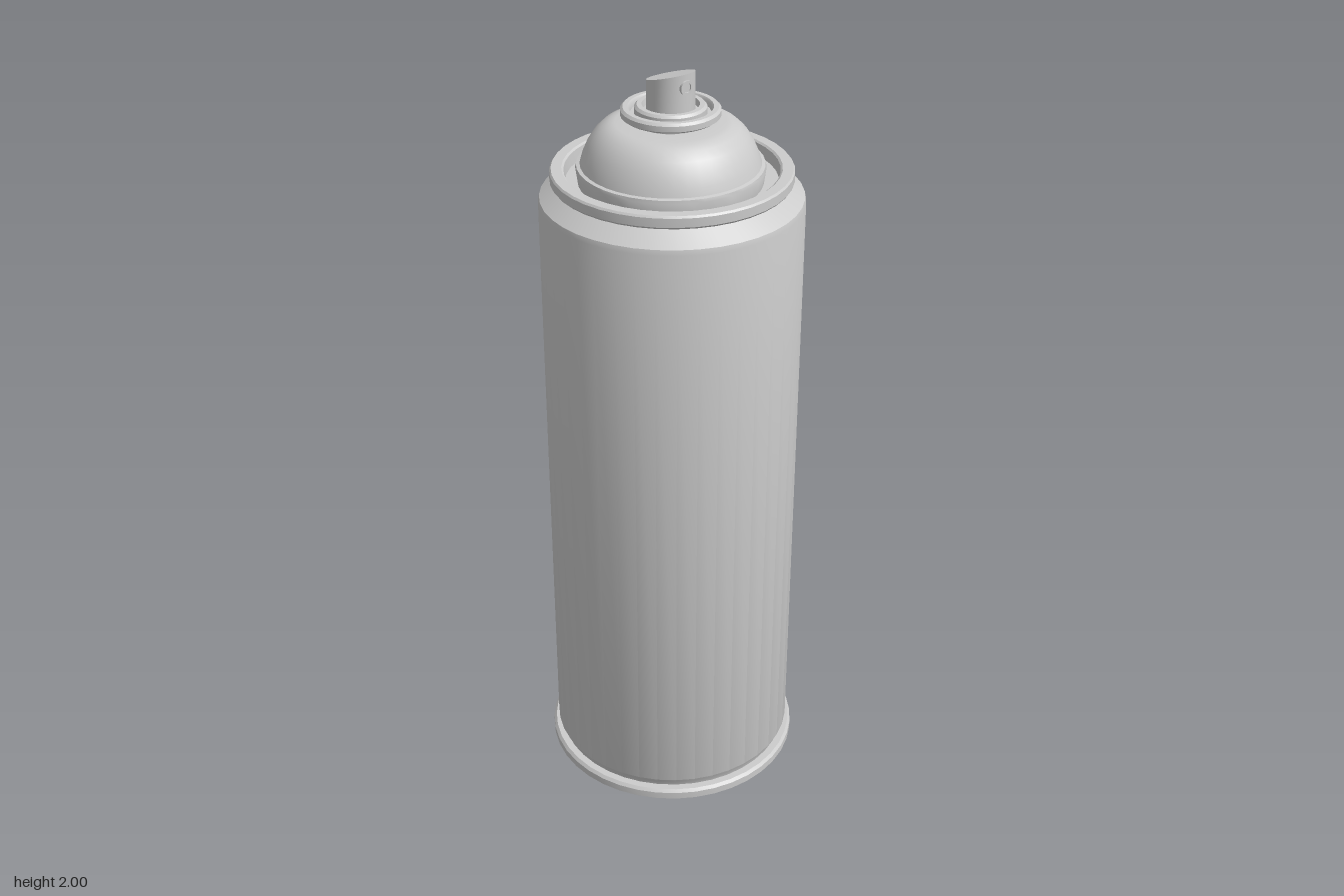
import * as THREE from 'three';
import { toCreasedNormals } from 'three/addons/utils/BufferGeometryUtils.js';

const material = new THREE.MeshStandardMaterial({ color: 0xcccccc, side: THREE.DoubleSide });

function addMesh(parent, name, geometry) {
  const mesh = new THREE.Mesh(toCreasedNormals(geometry, 0.55), material);
  mesh.name = name;
  parent.add(mesh);
  return mesh;
}

// Revolve [radius, height] pairs, listed from the bottom up
function turned(parent, name, profile, segments = 40) {
  const points = profile.map(([r, y]) => new THREE.Vector2(r, y));
  return addMesh(parent, name, new THREE.LatheGeometry(points, segments));
}

export function createModel() {
  const can = new THREE.Group();
  can.name = 'sprayCan';

  // Rolled seam and recessed underside
  turned(can, 'baseSeam', [
    [0, 0.03], [0.2, 0.027], [0.305, 0.018], [0.312, 0.003], [0.32, 0],
    [0.338, 0], [0.345, 0.006], [0.345, 0.026], [0.338, 0.034], [0.318, 0.034],
  ]);

  // Cylinder wall with a narrowed foot and sloping shoulder
  turned(can, 'body', [
    [0.318, 0.03], [0.321, 0.045], [0.33, 0.06], [0.33, 1.665],
    [0.327, 1.678], [0.28, 1.712], [0.28, 1.725],
  ]);

  // Top seam with a groove inside it
  turned(can, 'topSeam', [
    [0.275, 1.717], [0.296, 1.717], [0.3, 1.722], [0.3, 1.745], [0.296, 1.75],
    [0.27, 1.75], [0.265, 1.746], [0.262, 1.715], [0.225, 1.715],
  ]);

  const top = new THREE.Group();
  top.name = 'valveAssembly';
  top.position.x = -0.004;
  can.add(top);

  // Domed lid
  turned(top, 'dome', [
    [0.228, 1.715], [0.233, 1.752], [0.231, 1.76], [0.222, 1.762], [0.216, 1.782],
    [0.203, 1.812], [0.187, 1.836], [0.168, 1.854], [0.15, 1.863], [0.135, 1.866], [0.08, 1.866],
  ]);

  // Valve cup: neck, rounded rim and sunken ring
  turned(top, 'valveCup', [
    [0.085, 1.862], [0.085, 1.88], [0.115, 1.88], [0.122, 1.885], [0.122, 1.899],
    [0.116, 1.905], [0.104, 1.905], [0.1, 1.9], [0.098, 1.888], [0.088, 1.888],
    [0.088, 1.905], [0.082, 1.911], [0.07, 1.911], [0.067, 1.895], [0.05, 1.895],
  ], 32);

  // Nozzle button, its top sloping down towards the back
  const nozzle = new THREE.CylinderGeometry(0.059, 0.059, 0.1, 32);
  nozzle.translate(0, 1.94, 0);
  const p = nozzle.attributes.position;
  for (let i = 0; i < p.count; i++) {
    if (p.getY(i) > 1.95) p.setY(i, 1.982 + 0.3 * p.getZ(i));
  }
  addMesh(top, 'nozzle', nozzle);

  // Small spray outlet facing forward
  const outlet = turned(top, 'sprayOutlet', [
    [0.018, -0.012], [0.018, 0.006], [0.012, 0.006], [0.012, 0.002], [0, 0.002],
  ], 16);
  outlet.rotation.x = Math.PI / 2;
  outlet.position.set(0, 1.967, 0.057);

  return can;
}
